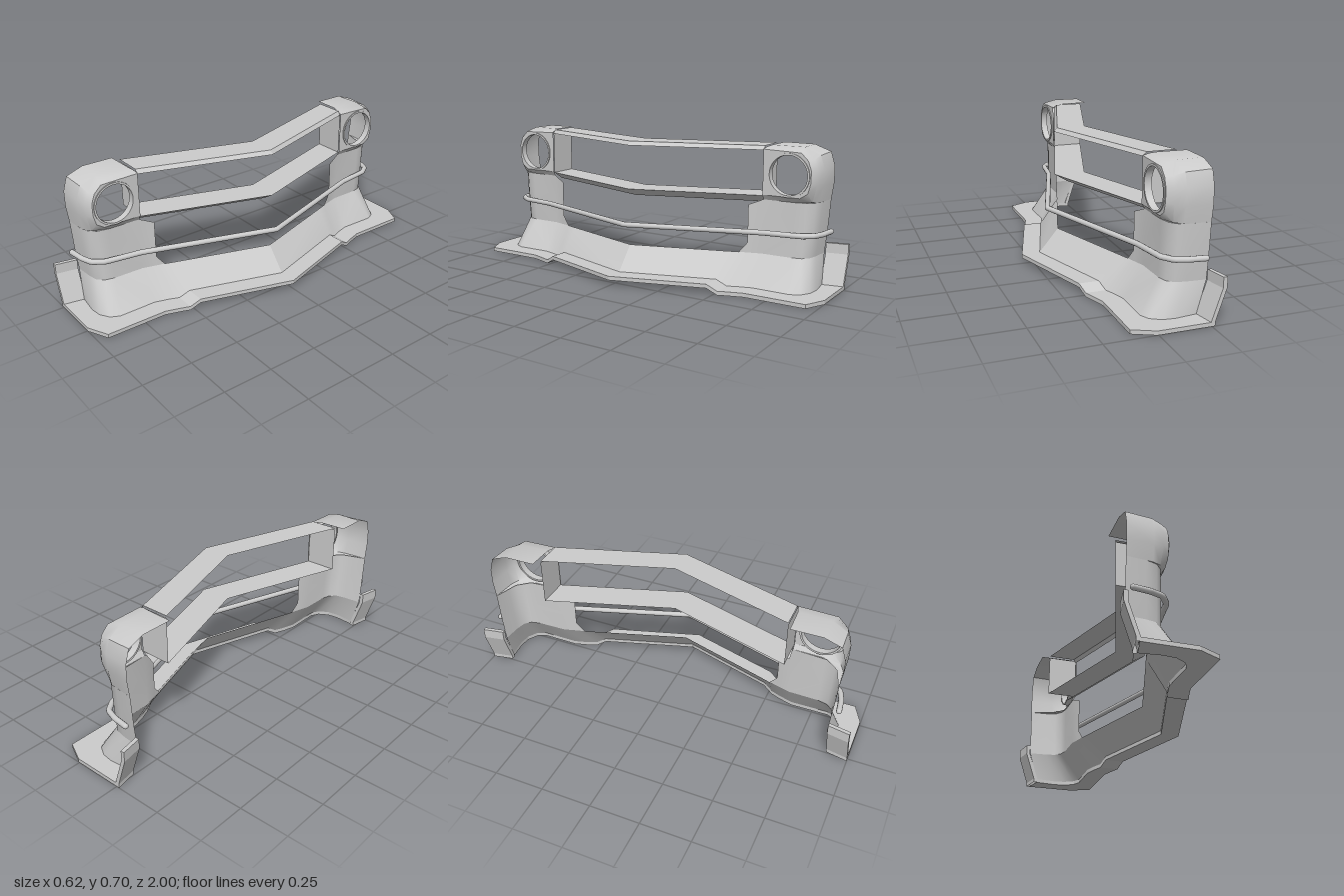
import * as THREE from 'three';
import { toCreasedNormals } from 'three/addons/utils/BufferGeometryUtils.js';

const material = new THREE.MeshStandardMaterial({ color: 0xcccccc, side: THREE.DoubleSide });

function mesh(name, geometry) {
  const m = new THREE.Mesh(geometry, material);
  m.name = name;
  return m;
}

// Skin over rows of [x, y, z] points; s = -1 mirrors it to the other side
function loft(rows, s, closed = false, crease = 0.6) {
  const n = rows[0].length, pos = [], idx = [];
  rows.forEach(r => r.forEach(([x, y, z]) => pos.push(x, y, z * s)));
  for (let i = 0; i < rows.length - 1; i++) {
    for (let j = 0; j < (closed ? n : n - 1); j++) {
      const a = i * n + j, b = i * n + (j + 1) % n, c = a + n, d = b + n;
      if (s > 0) idx.push(a, b, d, a, d, c);
      else idx.push(a, d, b, a, c, d);
    }
  }
  const g = new THREE.BufferGeometry();
  g.setAttribute('position', new THREE.Float32BufferAttribute(pos, 3));
  g.setIndex(idx);
  return toCreasedNormals(g, crease);
}

// Swept-back grille slat: a cross-section [x, y] run from the centre to the lamp
const END = 0.64, SWEEP = 0.205;
const slat = (section, s) => loft([
  section.map(([x, y]) => [x, y, 0]),
  section.map(([x, y]) => [x - SWEEP, y, END]),
], s);

// Plan curves [x, z] of the body, from the inner edge round to the wheel side
const panelTop = [[-0.065, 0.57], [-0.085, 0.64], [-0.088, 0.80], [-0.1, 0.855], [-0.13, 0.888], [-0.18, 0.903], [-0.275, 0.91]];
const panelLow = [[-0.065, 0.57], [-0.085, 0.64], [-0.088, 0.79], [-0.1, 0.84], [-0.13, 0.87], [-0.18, 0.88], [-0.275, 0.887]];

// Floor lip stations: [inner x, inner z, outer x, outer z, top y]
const lipStations = [
  [0.215, 0, 0.31, 0, 0.05], [0.066, 0.47, 0.165, 0.47, 0.05],
  [0.05, 0.52, 0.15, 0.52, 0.02], [0.03, 0.57, 0.132, 0.57, 0.02],
  [0.01, 0.64, 0.11, 0.64, 0.02], [0.012, 0.83, 0.11, 0.95, 0.02],
  [-0.01, 0.875, 0.11, 0.95, 0.02], [-0.06, 0.905, 0.005, 1, 0.02],
  [-0.12, 0.912, -0.12, 1, 0.02], [-0.225, 0.9, -0.25, 1, 0.02],
];

function lampHousing(s) {
  const g = new THREE.Group();
  g.name = 'lampHousing';
  // Front face with the round lamp opening
  const outline = [[0.64, 0.465], [0.83, 0.465], [0.868, 0.49], [0.882, 0.54], [0.882, 0.60], [0.866, 0.645], [0.83, 0.68], [0.64, 0.685]];
  const shape = new THREE.Shape(outline.map(([z, y]) => new THREE.Vector2(-z * s, y)));
  const hole = new THREE.Path();
  hole.absarc(-0.77 * s, 0.57, 0.098, 0, Math.PI * 2, true);
  shape.holes.push(hole);
  const face = new THREE.ShapeGeometry(shape, 24);
  face.rotateY(Math.PI / 2).translate(-0.07, 0, 0);
  g.add(mesh('lampFace', face));
  // Rounded shell running back from the face
  g.add(mesh('lampShell', loft([
    outline.map(([z, y]) => [-0.07, y, z]),
    [[-0.085, 0.44, 0.64], [-0.088, 0.44, 0.80], [-0.11, 0.445, 0.878], [-0.1, 0.53, 0.902], [-0.1, 0.60, 0.902],
      [-0.1, 0.65, 0.885], [-0.1, 0.69, 0.825], [-0.1, 0.695, 0.645]],
    [[-0.088, 0.44, 0.80], [-0.1, 0.44, 0.855], [-0.15, 0.44, 0.9], [-0.15, 0.52, 0.915], [-0.15, 0.60, 0.917],
      [-0.15, 0.665, 0.895], [-0.14, 0.70, 0.82], [-0.135, 0.70, 0.655]],
    [[-0.13, 0.44, 0.888], [-0.18, 0.44, 0.903], [-0.275, 0.44, 0.91], [-0.275, 0.52, 0.921], [-0.275, 0.60, 0.921],
      [-0.275, 0.67, 0.9], [-0.275, 0.70, 0.815], [-0.275, 0.70, 0.66]],
  ], s, false, 0.8)));
  // Lamp rim
  const rim = new THREE.LatheGeometry(
    [[0.096, -0.03], [0.106, -0.03], [0.106, 0.006], [0.096, 0.006], [0.096, -0.03]].map(p => new THREE.Vector2(...p)), 40);
  rim.rotateZ(-Math.PI / 2).translate(-0.071, 0.57, 0.77 * s);
  g.add(mesh('lampRim', toCreasedNormals(rim, 0.6)));
  return g;
}

function buildSide(s) {
  const g = new THREE.Group();
  g.name = s > 0 ? 'sideA' : 'sideB';

  // Grille frame
  g.add(mesh('upperSlat', slat([[-0.03, 0.7], [0.115, 0.7], [0.13, 0.68]], s)));
  g.add(mesh('lowerSlat', slat([[-0.03, 0.46], [0.13, 0.46], [0.065, 0.42]], s)));
  g.add(mesh('grilleEndWall', loft([
    [[-0.235, 0.46, END], [-0.075, 0.46, END]],
    [[-0.235, 0.69, END], [-0.075, 0.69, END]],
  ], s)));

  g.add(lampHousing(s));

  // Upright corner panel below the lamp
  g.add(mesh('cornerPanel', loft([
    panelLow.map(([x, z]) => [x, 0.17, z]),
    panelLow.map(([x, z], i) => [x, 0.28, z + (panelTop[i][1] - z) * 0.5]),
    panelTop.map(([x, z], i) => [x, i === 0 ? 0.41 : 0.44, z]),
  ], s)));
  g.add(mesh('panelGusset', loft([
    [[-0.055, 0.17, 0.53], [-0.065, 0.17, 0.57]],
    [[-0.065, 0.22, 0.57], [-0.065, 0.22, 0.57]],
  ], s)));

  // Flared apron from the panel down to the lip
  const apronTop = [[0.115, 0], [-0.035, 0.47], [-0.055, 0.53], ...panelLow];
  g.add(mesh('apron', loft([
    lipStations.map(([x, z, , , y]) => [x, y, z]),
    apronTop.map(([x, z]) => [x, 0.17, z]),
  ], s)));

  // Floor lip, a thin slab with a raised centre
  g.add(mesh('floorLip', loft(lipStations.map(([xi, zi, xo, zo, y]) =>
    [[xi, y, zi], [xo, y, zo], [xo, y - 0.02, zo], [xi, y - 0.02, zi]]), s, true, 0.3)));

  // Fender flange standing outside the panel
  const flange = (y, xIn, xOut) => [
    [xIn, y, 0.893], [xOut, y, 1], [xOut - 0.02, y, 1], [xIn - 0.02, y, 0.893]];
  g.add(mesh('fenderFlange', loft([
    flange(0, -0.225, -0.245), flange(0.02, -0.225, -0.245),
    flange(0.17, -0.275, -0.295), flange(0.22, -0.275, -0.295),
  ], s, true, 0.2)));
  g.add(mesh('flangeCap', loft([
    [[-0.275, 0.22, 0.893], [-0.295, 0.22, 1]],
    [[-0.295, 0.22, 0.893], [-0.315, 0.22, 1]],
  ], s)));
  return g;
}

export function createModel() {
  const model = new THREE.Group();
  model.name = 'frontBumper';
  for (const s of [1, -1]) model.add(buildSide(s));

  // Trim rod wrapping the whole front
  const half = [[-0.045, 0.66], [-0.072, 0.84], [-0.11, 0.895], [-0.17, 0.915], [-0.25, 0.925]];
  const pts = [...half.slice().reverse().map(([x, z]) => [x, -z]), [0.17, 0], ...half]
    .map(([x, z]) => new THREE.Vector3(x, 0.285, z));
  const path = new THREE.CurvePath();
  for (let i = 1; i < pts.length; i++) path.add(new THREE.LineCurve3(pts[i - 1], pts[i]));
  model.add(mesh('trimRod', new THREE.TubeGeometry(path, 160, 0.0135, 12)));
  for (const s of [0, pts.length - 1]) {
    const cap = mesh('trimRodEnd', new THREE.SphereGeometry(0.0135, 12, 8));
    cap.position.copy(pts[s]);
    model.add(cap);
  }
  return model;
}
